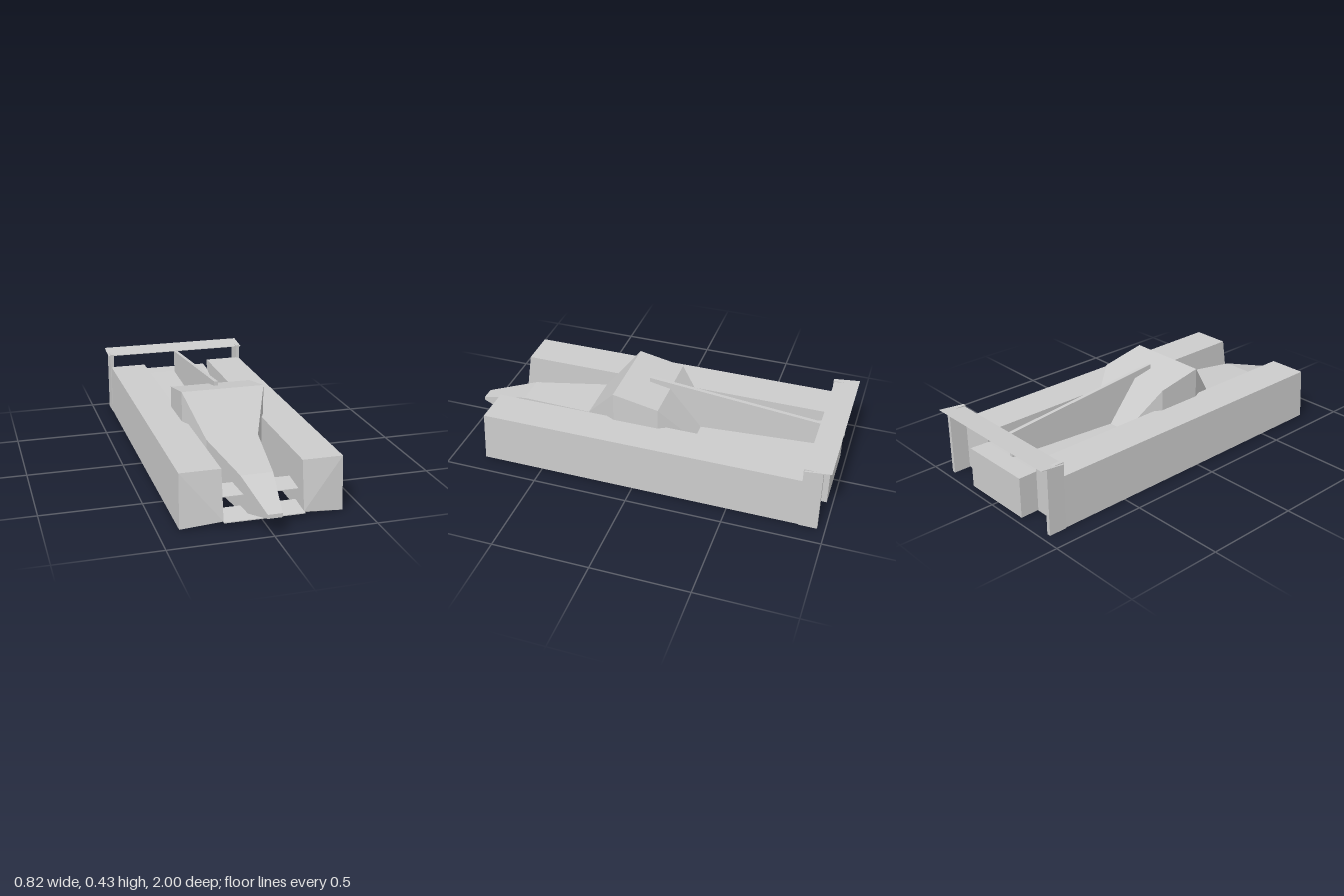
import * as THREE from 'three';
import { ConvexGeometry } from 'three/addons/geometries/ConvexGeometry.js';

const material = new THREE.MeshStandardMaterial({ color: 0xcccccc, flatShading: true, side: THREE.DoubleSide });

function add(group, name, geometry) {
  const mesh = new THREE.Mesh(geometry, material);
  mesh.name = name;
  group.add(mesh);
  return mesh;
}

function box(group, name, x0, x1, y0, y1, z0, z1) {
  const mesh = add(group, name, new THREE.BoxGeometry(x1 - x0, y1 - y0, z1 - z0));
  mesh.position.set((x0 + x1) / 2, (y0 + y1) / 2, (z0 + z1) / 2);
  return mesh;
}

// Solid hull around a few corner points
function hull(group, name, points) {
  return add(group, name, new ConvexGeometry(points.map((p) => new THREE.Vector3(...p))));
}

// Joins rectangular sections [z, halfWidth, bottom, top], listed from front to back
function loft(sections) {
  const rings = sections.map(([z, w, b, t]) => [[-w, b, z], [w, b, z], [w, t, z], [-w, t, z]]);
  const pos = [];
  const quad = (a, b, c, d) => pos.push(...a, ...b, ...c, ...a, ...c, ...d);
  quad(...rings[0]);
  for (let i = 0; i < rings.length - 1; i++) {
    const f = rings[i], r = rings[i + 1];
    for (let k = 0; k < 4; k++) {
      const n = (k + 1) % 4;
      quad(f[k], r[k], r[n], f[n]);
    }
  }
  quad(...[...rings[rings.length - 1]].reverse());
  const geometry = new THREE.BufferGeometry();
  geometry.setAttribute('position', new THREE.Float32BufferAttribute(pos, 3));
  geometry.computeVertexNormals();
  return geometry;
}

// Thin plate profile across x, from its front edge to its rear edge
function plate(group, name, x0, x1, [zf, yf], [zr, yr], thick) {
  const points = [];
  for (const x of [x0, x1]) {
    points.push([x, yf, zf], [x, yf + thick * 0.3, zf], [x, yr, zr], [x, yr - thick, zr]);
  }
  return hull(group, name, points);
}

export function createModel() {
  const model = new THREE.Group();
  model.name = 'racer';

  // Central body: nose, bonnet, cabin and tail
  add(model, 'body', loft([
    [1.0, 0.035, 0.092, 0.112],
    [0.73, 0.08, 0.012, 0.195],
    [0.33, 0.135, 0.012, 0.23],
    [0.16, 0.217, 0.012, 0.432],
    [-0.08, 0.217, 0.012, 0.385],
    [-0.25, 0.125, 0.012, 0.18],
    [-0.87, 0.195, 0.008, 0.218],
    [-0.97, 0.198, 0.008, 0.22],
  ]));

  // Dorsal fin running from the roof to the rear wing
  const finShape = new THREE.Shape([
    [-0.03, 0.43], [-0.03, 0.395], [0.08, 0.37], [0.25, 0.17], [0.87, 0.2], [0.87, 0.345],
  ].map(([x, y]) => new THREE.Vector2(x, y)));
  const finGeometry = new THREE.ExtrudeGeometry(finShape, { depth: 0.02, bevelEnabled: false });
  finGeometry.rotateY(Math.PI / 2).translate(-0.01, 0, 0);
  add(model, 'dorsalFin', finGeometry);

  for (const s of [-1, 1]) {
    const side = s > 0 ? 'left' : 'right';

    // Long side pod with a slanted, undercut front
    hull(model, side + 'SidePod', [
      [s * 0.395, 0.275, 0.81], [s * 0.195, 0.275, 0.81],
      [s * 0.398, 0.004, 0.825], [s * 0.195, 0.004, 0.8], [s * 0.195, 0.03, 0.848],
      [s * 0.395, 0.275, -0.87], [s * 0.195, 0.275, -0.87],
      [s * 0.398, 0.004, -0.87], [s * 0.195, 0.004, -0.87],
    ]);

    // Rear wing end plate
    const x = s * 0.39;
    box(model, side + 'EndPlate', x - 0.01, x + 0.01, 0.002, 0.352, -0.96, -0.865);

    // Upper front winglet and rear bridge between body and pod
    plate(model, side + 'FrontWinglet', s * 0.05, s * 0.197, [0.765, 0.11], [0.64, 0.126], 0.012);
    plate(model, side + 'RearBridge', s * 0.14, s * 0.197, [-0.68, 0.11], [-0.87, 0.126], 0.012);

    // Strut between nose and front wing
    box(model, side + 'NoseStrut', s * 0.022 - 0.002, s * 0.022 + 0.002, 0.027, 0.06, 0.81, 0.85);
  }

  // Lower front wing and high rear wing
  plate(model, 'frontWing', -0.197, 0.197, [0.864, 0.027], [0.73, 0.043], 0.014);
  hull(model, 'rearWing', [-0.41, 0.41].flatMap((x) => [
    [x, 0.343, -0.87], [x, 0.346, -0.87], [x, 0.354, -0.96], [x, 0.349, -0.96], [x, 0.36, -1.0],
  ]));

  return model;
}
